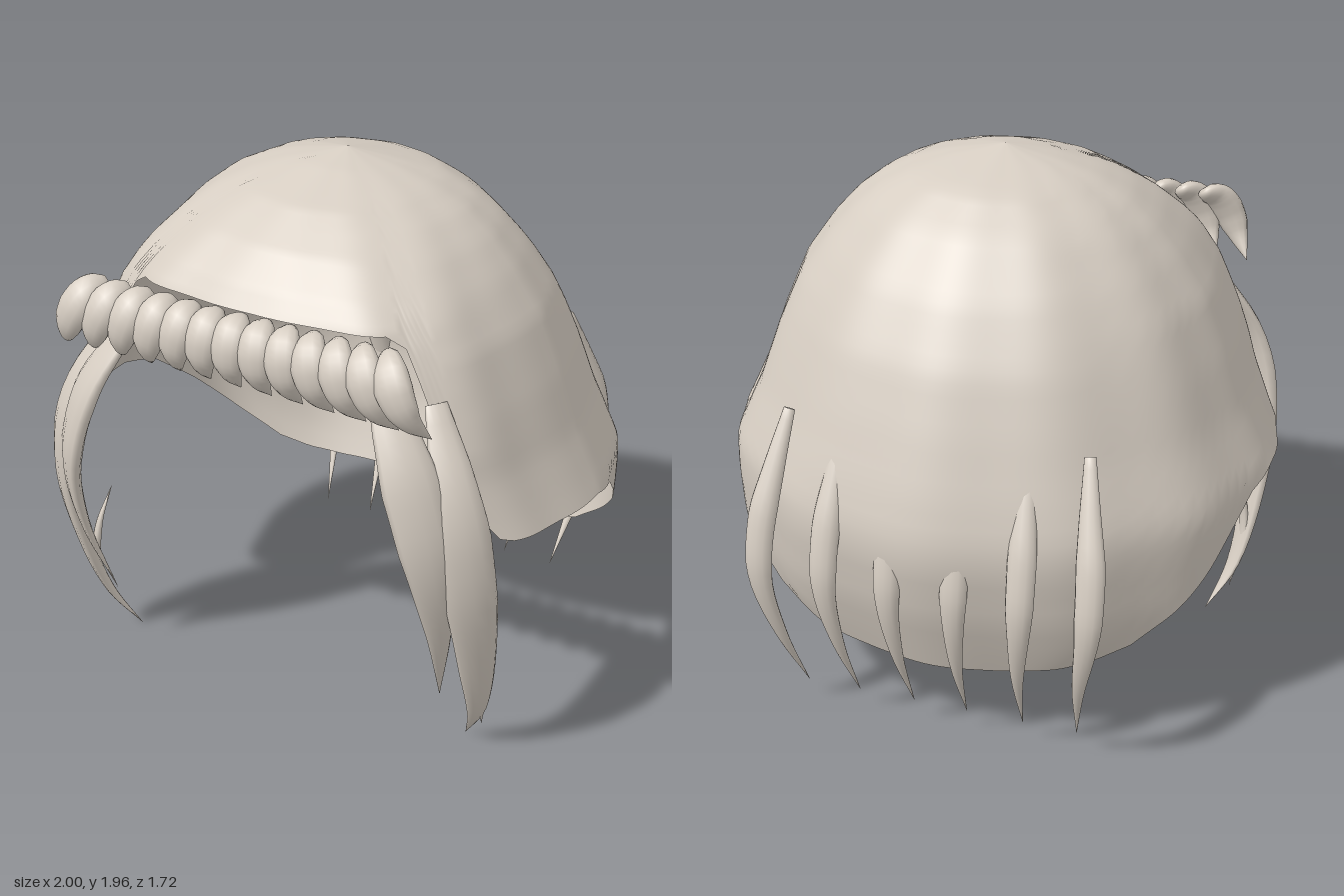
import * as THREE from 'three';

const hairMaterial = new THREE.MeshStandardMaterial({ color: 0xd6cdc2, side: THREE.DoubleSide });
hairMaterial.name = 'pale hair';

// Linear lookup in a list of [key, value] pairs with rising keys
function lookup(table, k) {
  if (k <= table[0][0]) return table[0][1];
  for (let i = 1; i < table.length; i++) {
    const [k0, v0] = table[i - 1], [k1, v1] = table[i];
    if (k <= k1) return v0 + (v1 - v0) * (k - k0) / (k1 - k0);
  }
  return table[table.length - 1][1];
}

function makeMesh(name, positions, indices) {
  const geometry = new THREE.BufferGeometry();
  geometry.setAttribute('position', new THREE.Float32BufferAttribute(positions, 3));
  geometry.setIndex(indices);
  geometry.computeVertexNormals();
  const mesh = new THREE.Mesh(geometry, hairMaterial);
  mesh.name = name;
  return mesh;
}

// Cap profiles by height: half width, front reach, back reach
const TOP = 1.97, CENTRE_Z = 0.05;
const sideReach = [[0.3, 0.88], [0.4, 0.97], [0.5, 0.99], [0.8, 1], [0.89, 1], [0.95, 0.97], [1.1, 0.9], [1.3, 0.83],
  [1.5, 0.745], [1.65, 0.64], [1.75, 0.55], [1.83, 0.45], [1.89, 0.33], [1.93, 0.2], [TOP, 0]];
const frontReach = [[0.89, 0.72], [1.2, 0.79], [1.4, 0.76], [1.6, 0.7], [1.67, 0.65], [1.77, 0.55], [1.87, 0.4],
  [1.94, 0.2], [TOP, 0.05]];
const backReach = [[0.3, 0.73], [0.55, 0.82], [0.75, 0.86], [0.85, 0.86], [1, 0.82], [1.2, 0.75], [1.4, 0.67],
  [1.6, 0.55], [1.78, 0.4], [1.89, 0.25], [TOP, -0.05]];
// Hem height by degrees from the front
const hem = [[0, 1.6], [36, 1.59], [42, 1.55], [49, 1.2], [52, 0.95], [54, 0.9], [58, 0.89], [90, 0.89], [100, 0.85],
  [112.6, 0.7], [125, 0.53], [136, 0.4], [143, 0.35], [151, 0.32], [165, 0.3], [180, 0.3]];

// Open cap of hair, rounder at the crown and squarer at the front
function createCap() {
  const columns = 180, rows = 44, positions = [], indices = [];
  for (let j = 0; j <= rows; j++) {
    for (let i = 0; i < columns; i++) {
      const a = i / columns * Math.PI * 2;
      const degrees = Math.min(i, columns - i) * 360 / columns;
      const y = TOP - (TOP - lookup(hem, degrees)) * Math.pow(j / rows, 1.6);
      const s = Math.sin(a), c = Math.cos(a);
      const n = c > 0 ? lookup([[1.6, 2.9], [1.9, 2]], y) : 2;
      const bend = v => Math.sign(v) * Math.pow(Math.abs(v), 2 / n);
      const ripple = 1 - 0.009 * (1 - Math.cos(12 * a));
      const reach = c > 0 ? lookup(frontReach, y) - CENTRE_Z : lookup(backReach, y) + CENTRE_Z;
      positions.push(lookup(sideReach, y) * bend(s) * ripple, y, CENTRE_Z + reach * bend(c) * ripple);
      if (j < rows) {
        const p = j * columns + i, q = j * columns + (i + 1) % columns;
        indices.push(p, p + columns, q);
        indices.push(q, p + columns, q + columns);
      }
    }
  }
  return makeMesh('hairCap', positions, indices);
}

// Tapered oval lock swept along points; outward is the direction its flat face looks
function createLock(name, points, outward, width, thickness, taper, steps = 24) {
  const curve = new THREE.CatmullRomCurve3(points.map(p => new THREE.Vector3(...p)));
  const out = new THREE.Vector3(...outward).normalize();
  const sides = 12, positions = [], indices = [];
  for (let j = 0; j <= steps; j++) {
    const t = j / steps, centre = curve.getPoint(t), tangent = curve.getTangent(t);
    const across = out.clone().cross(tangent).normalize();
    const normal = tangent.clone().cross(across).normalize();
    const size = lookup(taper, t) / 2;
    for (let i = 0; i < sides; i++) {
      const a = i / sides * Math.PI * 2;
      const p = centre.clone()
        .addScaledVector(across, Math.cos(a) * size * width)
        .addScaledVector(normal, Math.sin(a) * size * thickness);
      positions.push(p.x, p.y, p.z);
      if (j < steps) {
        const u = j * sides + i, v = j * sides + (i + 1) % sides;
        indices.push(u, v, u + sides);
        indices.push(v, v + sides, u + sides);
      }
    }
  }
  // Root cap
  const root = positions.length / 3;
  positions.push(...points[0]);
  for (let i = 0; i < sides; i++) indices.push(root, (i + 1) % sides, i);
  return makeMesh(name, positions, indices);
}

export function createModel() {
  const model = new THREE.Group();
  model.name = 'hairstyle';
  model.add(createCap());

  // Row of curled fringe locks, fanning outwards
  const fringe = new THREE.Group();
  fringe.name = 'fringe';
  const curlTaper = [[0, 0.35], [0.12, 0.72], [0.3, 0.95], [0.45, 1], [0.65, 0.85], [0.82, 0.5], [1, 0.01]];
  for (let k = -6; k <= 6; k++) {
    const x = k * 0.098;
    fringe.add(createLock('fringeCurl', [
      [x * 0.92, 1.605, 0.73], [x * 0.99, 1.58, 0.79], [x * 1.06, 1.51, 0.82],
      [x * 1.13, 1.43, 0.81], [x * 1.22, 1.35, 0.75],
    ], [x * 0.2, 0.2, 1], 0.135, 0.085, curlTaper, 18));
  }
  model.add(fringe);

  // Long locks framing the face and hanging at the back, on both sides
  const lockTaper = [[0, 0.4], [0.12, 0.72], [0.28, 1], [0.45, 0.95], [0.65, 0.65], [0.85, 0.28], [1, 0.01]];
  const spikeTaper = [[0, 0.4], [0.15, 0.65], [0.35, 1], [0.55, 0.95], [0.75, 0.55], [1, 0.01]];
  for (const side of [-1, 1]) {
    const mirror = points => points.map(([x, y, z]) => [x * side, y, z]);
    const label = side > 0 ? 'left' : 'right';
    model.add(createLock(label + 'InnerFaceLock', mirror([
      [0.48, 1.45, 0.67], [0.63, 1.2, 0.75], [0.72, 0.9, 0.76], [0.73, 0.6, 0.7], [0.68, 0.27, 0.59],
    ]), [side, 0, 1], 0.2, 0.075, lockTaper));
    model.add(createLock(label + 'OuterFaceLock', mirror([
      [0.64, 1.38, 0.58], [0.77, 1.1, 0.67], [0.825, 0.8, 0.67], [0.82, 0.45, 0.59], [0.78, 0.18, 0.5], [0.7, 0.01, 0.42],
    ]), [side, 0, 1], 0.19, 0.075, lockTaper));
    model.add(createLock(label + 'LooseWisp', mirror([
      [0.76, 0.63, 0.49], [0.79, 0.48, 0.54], [0.81, 0.3, 0.53], [0.78, 0.1, 0.46],
    ]), [side, 0, 1], 0.05, 0.03, [[0, 0.05], [0.4, 1], [0.7, 0.9], [1, 0.02]]));

    // Back spikes, rooted inside the cap near the middle
    for (const [x, middle, tip] of [[0.11, 0.12, 0.1], [0.33, 0.355, 0.31], [0.54, 0.595, 0.51]]) {
      model.add(createLock(label + 'BackSpike', mirror([
        [x, 1.18, -0.65], [(x + middle) / 2, 1.0, -0.73], [middle, 0.8, -0.805],
        [middle, 0.6, -0.835], [(middle + tip) / 2, 0.35, -0.78], [tip, 0.08, -0.65],
      ]), [0, 0, -1], 0.105, 0.065, spikeTaper));
    }
  }
  return model;
}
